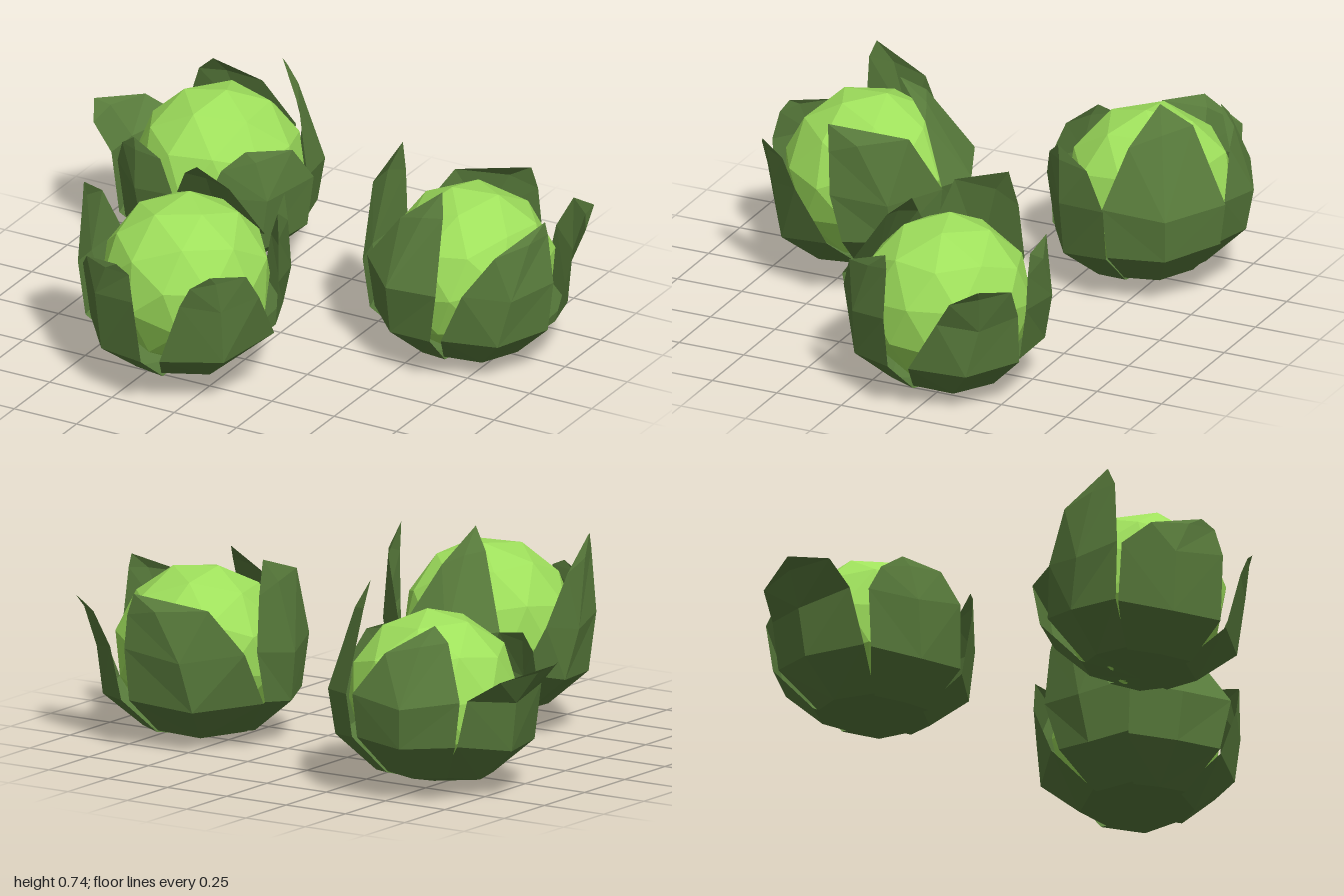
import * as THREE from 'three';

const heartGreen = new THREE.MeshStandardMaterial({ color: 0x9fe05c, flatShading: true });
heartGreen.name = 'light heart green';
const leafGreen = new THREE.MeshStandardMaterial({ color: 0x597c3c, flatShading: true, side: THREE.DoubleSide });
leafGreen.name = 'dark leaf green';

const CENTRE = new THREE.Vector3(0, 0.31, 0);
const { lerp, degToRad } = THREE.MathUtils;

// how far the low edge, middle and high edge of the shoulder go from belly to tip
const SHOULDER = [
  { angle: 0.3, r: 0.65, y: 0.78 },
  { angle: 0.5, r: 0.62, y: 0.72 },
  { angle: 0.35, r: 0.5, y: 0.6 },
];

// point around the vertical axis, angle in degrees from +x towards +z
function polar(angle, r, y) {
  const a = degToRad(angle);
  return new THREE.Vector3(Math.cos(a) * r, y, Math.sin(a) * r);
}

// keep a point outside the round heart
function pushOut(p, minimum) {
  const d = p.clone().sub(CENTRE);
  if (d.length() < minimum) d.setLength(minimum);
  return d.add(CENTRE);
}

// cupped leaf: three columns of points from the base pole up to a single tip;
// the low-angle edge lies outside its neighbour, the high-angle edge inside
function leafGeometry([baseLow, baseHigh, low, high, tipAngle, tipR, tipY], tilt) {
  const tip = polar(tipAngle, tipR, tipY);
  const spiral = (j) => 0.01 - 0.009 * j;
  const row = (from, to, r, y, midLift, slope) => [0, 1, 2].map((j) => {
    const p = polar(lerp(from, to, j / 2), r + spiral(j), y + (j === 1 ? midLift : 0));
    p.y -= p.z * slope;
    return p;
  });
  const shoulder = SHOULDER.map((t, j) => pushOut(polar(
    lerp(lerp(low, high, j / 2), tipAngle, t.angle),
    lerp(0.365, tipR, t.r),
    lerp(0.37, tipY, t.y)), 0.345 + spiral(j)));
  const pole = new THREE.Vector3(0, 0, 0);
  const rows = [
    [pole, pole, pole],
    row(baseLow - 2, baseHigh + 2, 0.2, 0.04, -0.01, tilt),
    row(lerp(baseLow, low, 0.4), lerp(baseHigh, high, 0.4), 0.342, 0.17, -0.02, tilt),
    row(low, high, 0.368, 0.36, -0.03, 0),
    shoulder,
    [tip, tip, tip],
  ];
  const points = [];
  const addFace = (a, b, c) => {
    if (!a.equals(b) && !b.equals(c) && !a.equals(c)) points.push(a, b, c);
  };
  for (let i = 0; i < rows.length - 1; i++) {
    for (let j = 0; j < 2; j++) {
      const a0 = rows[i][j], a1 = rows[i][j + 1];
      const b0 = rows[i + 1][j], b1 = rows[i + 1][j + 1];
      if (j === 0) {
        addFace(a0, b0, a1);
        addFace(a1, b0, b1);
      } else {
        addFace(a0, b0, b1);
        addFace(a0, b1, a1);
      }
    }
  }
  const geometry = new THREE.BufferGeometry().setFromPoints(points);
  geometry.computeVertexNormals();
  return geometry;
}

// each leaf: edge angles near the base, edge angles at the belly, tip angle, radius, height
const HEADS = [
  {
    name: 'frontHead', position: [-0.13, 0.06, 0.438], turn: 0.4, tilt: 0.13,
    leaves: [
      [-135, -70, -130, -70, -100, 0.11, 0.68],
      [-70, -13, -68, -3, -2, 0.36, 0.63],
      [-13, 85, 18, 64, 48, 0.39, 0.48],
      [85, 155, 90, 150, 103, 0.36, 0.48],
      [155, 225, 152, 202, 158, 0.36, 0.65],
    ],
  },
  {
    name: 'backHead', position: [-0.51, 0.02, -0.465], turn: 1.3, tilt: 0.1,
    leaves: [
      [225, 290, 222, 288, 235, 0.25, 0.61],
      [-70, 0, -70, 2, -35, 0.22, 0.72],
      [0, 75, 0, 67, 45, 0.34, 0.52],
      [75, 140, 86, 142, 122, 0.34, 0.5],
      [140, 225, 152, 217, 177, 0.49, 0.47],
    ],
  },
  {
    name: 'sideHead', position: [0.63, 0, -0.23], turn: 2.2, tilt: 0,
    leaves: [
      [87, 145, 79, 148, 100, 0.15, 0.65],
      [10, 87, 10, 65, 12, 0.35, 0.59],
      [-75, 10, -67, -20, -40, 0.44, 0.51],
      [188, 285, 212, 284, 278, 0.35, 0.56],
      [145, 188, 143, 203, 195, 0.33, 0.68],
    ],
  },
];

export function createModel() {
  const model = new THREE.Group();
  model.name = 'leafyHeads';
  for (const { name, position, turn, tilt, leaves } of HEADS) {
    const head = new THREE.Group();
    head.name = name;
    head.position.set(...position);

    // round faceted heart
    const heart = new THREE.Mesh(new THREE.IcosahedronGeometry(0.305, 1), heartGreen);
    heart.name = 'heart';
    heart.position.copy(CENTRE);
    heart.rotation.set(0.35, turn, 0.2);
    head.add(heart);

    // outer leaves
    leaves.forEach((spec, i) => {
      const leaf = new THREE.Mesh(leafGeometry(spec, tilt), leafGreen);
      leaf.name = 'outerLeaf' + (i + 1);
      head.add(leaf);
    });
    model.add(head);
  }
  return model;
}
